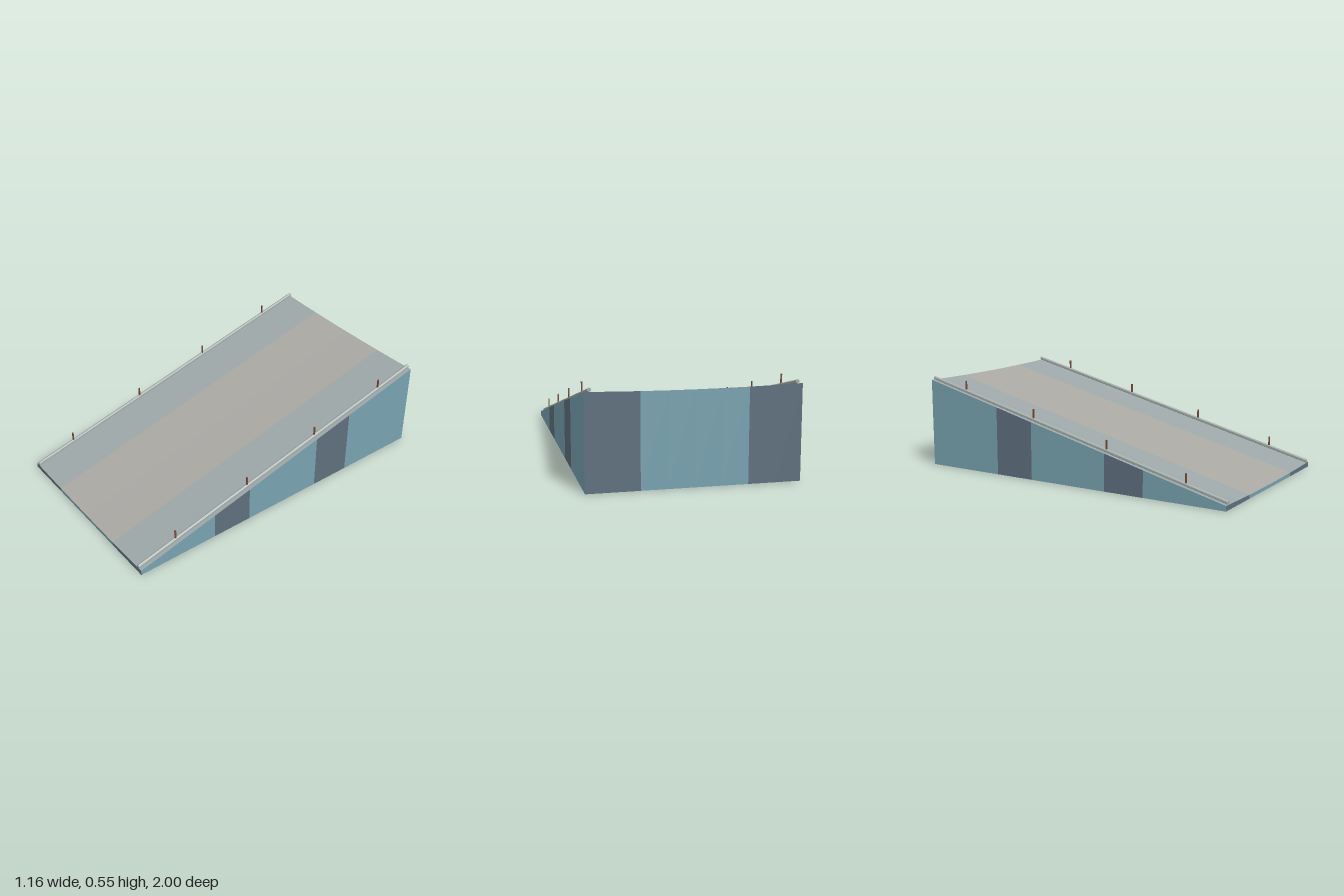
import * as THREE from 'three';

const HALF_W = 0.58, SPLIT = 0.29;
const TEAL = 0x78a3b0, SLATE = 0x5f707e, DECK = 0xaaa8a3, DECK_EDGE = 0x9da7a8, STEEL = 0xa3adaa, RUST = 0x7a4a35, UNDER = 0x4a5862;

const material = (color) => new THREE.MeshStandardMaterial({ color, flatShading: true });

// Deck height: slopes up to the back, dished slightly across its width
const deckY = (x, z) => 0.27 - 0.25 * z + 0.01 * (x / HALF_W) ** 2;

const range = (a, b, n) => Array.from({ length: n + 1 }, (_, i) => a + ((b - a) * i) / n);

// Ribbon of quads between two edges; each rung is [lower point, upper point],
// listed left to right as seen from outside
function strip(name, color, rungs) {
  const pos = [];
  for (let i = 0; i < rungs.length - 1; i++) {
    const [a, d] = rungs[i], [b, c] = rungs[i + 1];
    pos.push(...a, ...b, ...c, ...a, ...c, ...d);
  }
  const geo = new THREE.BufferGeometry();
  geo.setAttribute('position', new THREE.Float32BufferAttribute(pos, 3));
  geo.computeVertexNormals();
  const mesh = new THREE.Mesh(geo, material(color));
  mesh.name = name;
  return mesh;
}

export function createModel() {
  const group = new THREE.Group();
  group.name = 'ramp';

  // Deck and end walls, in three bands across the width
  const bands = [
    ['Right', -HALF_W, -SPLIT, 2],
    ['Centre', -SPLIT, SPLIT, 4],
    ['Left', SPLIT, HALF_W, 2],
  ];
  for (const [label, x0, x1, n] of bands) {
    const centre = label === 'Centre';
    const xs = range(x0, x1, n);
    group.add(strip('deck' + label, centre ? DECK : DECK_EDGE,
      xs.map((x) => [[x, deckY(x, 1), 1], [x, deckY(x, -1), -1]])));
    const wall = centre ? TEAL : SLATE;
    group.add(strip('frontWall' + label, wall,
      xs.map((x) => [[x, 0, 1], [x, deckY(x, 1), 1]])));
    group.add(strip('backWall' + label, wall,
      [...xs].reverse().map((x) => [[x, 0, -1], [x, deckY(x, -1), -1]])));
  }

  // Side walls with alternating panels
  const cuts = [-1, -0.5, -0.25, 0.25, 0.5, 1];
  for (const side of [-1, 1]) {
    const x = side * HALF_W;
    for (let i = 0; i < cuts.length - 1; i++) {
      const zs = side < 0 ? [cuts[i], cuts[i + 1]] : [cuts[i + 1], cuts[i]];
      group.add(strip('sidePanel', i % 2 ? SLATE : TEAL,
        zs.map((z) => [[x, 0, z], [x, deckY(x, z), z]])));
    }
  }

  // Underside
  group.add(strip('underside', UNDER,
    [-HALF_W, HALF_W].map((x) => [[x, 0, -1], [x, 0, 1]])));

  // Six-sided rails sheared along the slope, with upright pins
  const railGeo = new THREE.CylinderGeometry(0.0115, 0.0115, 2, 6).rotateX(Math.PI / 2);
  const p = railGeo.attributes.position;
  for (let i = 0; i < p.count; i++) p.setY(i, p.getY(i) + 0.29 - 0.25 * p.getZ(i));
  railGeo.computeVertexNormals();
  const pinGeo = new THREE.BoxGeometry(0.008, 0.07, 0.008);
  for (const side of [-1, 1]) {
    const rail = new THREE.Mesh(railGeo, material(STEEL));
    rail.name = 'rail';
    rail.position.x = side * 0.552;
    group.add(rail);
    for (const z of [-0.75, -0.25, 0.25, 0.75]) {
      const pin = new THREE.Mesh(pinGeo, material(RUST));
      pin.name = 'railPin';
      pin.position.set(side * 0.552, 0.317 - 0.25 * z, z);
      group.add(pin);
    }
  }
  return group;
}
